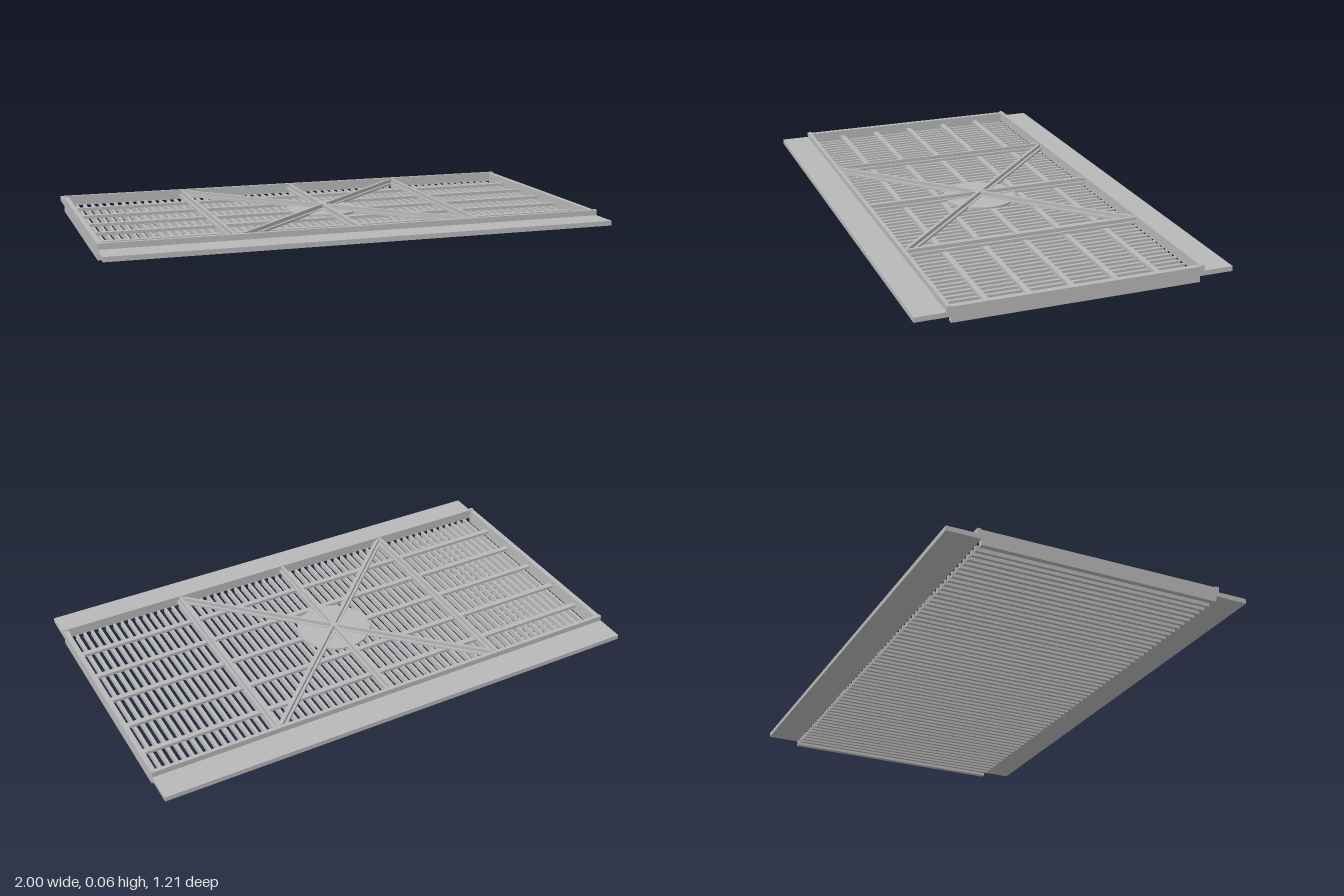
import * as THREE from 'three';

export function createModel() {
  const model = new THREE.Group();
  const steel = new THREE.MeshStandardMaterial({ color: 0xb8b8b8 });
  steel.name = 'grey steel';

  const add = (name, geometry, parent = model) => {
    const mesh = new THREE.Mesh(geometry, steel);
    mesh.name = name;
    parent.add(mesh);
    return mesh;
  };
  // Box given by its extents on each axis
  const block = (name, [x0, x1], [y0, y1], [z0, z1], parent) => {
    const mesh = add(name, new THREE.BoxGeometry(x1 - x0, y1 - y0, z1 - z0), parent);
    mesh.position.set((x0 + x1) / 2, (y0 + y1) / 2, (z0 + z1) / 2);
    return mesh;
  };

  // Angle rails along both long edges: flat flange with a raised lip
  const profile = new THREE.Shape([
    [0.473, 0.023], [0.605, 0.023], [0.605, 0.042],
    [0.488, 0.042], [0.488, 0.064], [0.473, 0.064],
  ].map(([z, y]) => new THREE.Vector2(z, y)));
  for (const side of [-1, 1]) {
    const rail = add(side > 0 ? 'frontRail' : 'backRail',
      new THREE.ExtrudeGeometry(profile, { depth: 2, bevelEnabled: false }));
    rail.rotation.y = -side * Math.PI / 2;
    rail.position.x = side;
  }

  // End plates
  block('rightEndPlate', [-1, -0.98], [0, 0.06], [-0.473, 0.473]);
  block('leftEndPlate', [0.98, 1], [0, 0.06], [-0.473, 0.473]);

  // Screen of thin slats running from front to back
  const slats = new THREE.Group();
  slats.name = 'screenSlats';
  model.add(slats);
  const count = 60;
  for (let i = 1; i < count; i++) {
    const x = -0.98 + (1.96 * i) / count;
    block('slat', [x - 0.006, x + 0.006], [0.002, 0.025], [-0.473, 0.473], slats);
  }

  // Lengthwise bars lying on the slats
  for (const z of [-0.335, -0.17, 0, 0.165, 0.325]) {
    block('lengthwiseBar', [-0.98, 0.98], [0.025, 0.037], [z - 0.011, z + 0.011]);
  }

  // Round centre plate
  const disc = add('centrePlate', new THREE.CylinderGeometry(0.15, 0.15, 0.008, 24));
  disc.position.y = 0.039;

  // Braces: a flat foot with an upright web
  const brace = (name, x, length, angle) => {
    const group = new THREE.Group();
    group.name = name;
    const h = length / 2;
    block('foot', [-0.016, 0.016], [0.037, 0.046], [-h, h], group);
    block('web', [-0.006, 0.006], [0.046, 0.061], [-h, h], group);
    group.position.x = x;
    group.rotation.y = angle;
    model.add(group);
  };
  brace('rightCrossBrace', -0.49, 0.946, 0);
  brace('middleCrossBrace', 0, 0.946, 0);
  brace('leftCrossBrace', 0.485, 0.946, 0);
  const angle = Math.atan2(0.48, 0.47);
  brace('diagonalBrace', 0, 1.33, angle);
  brace('diagonalBrace', 0, 1.33, -angle);

  return model;
}
